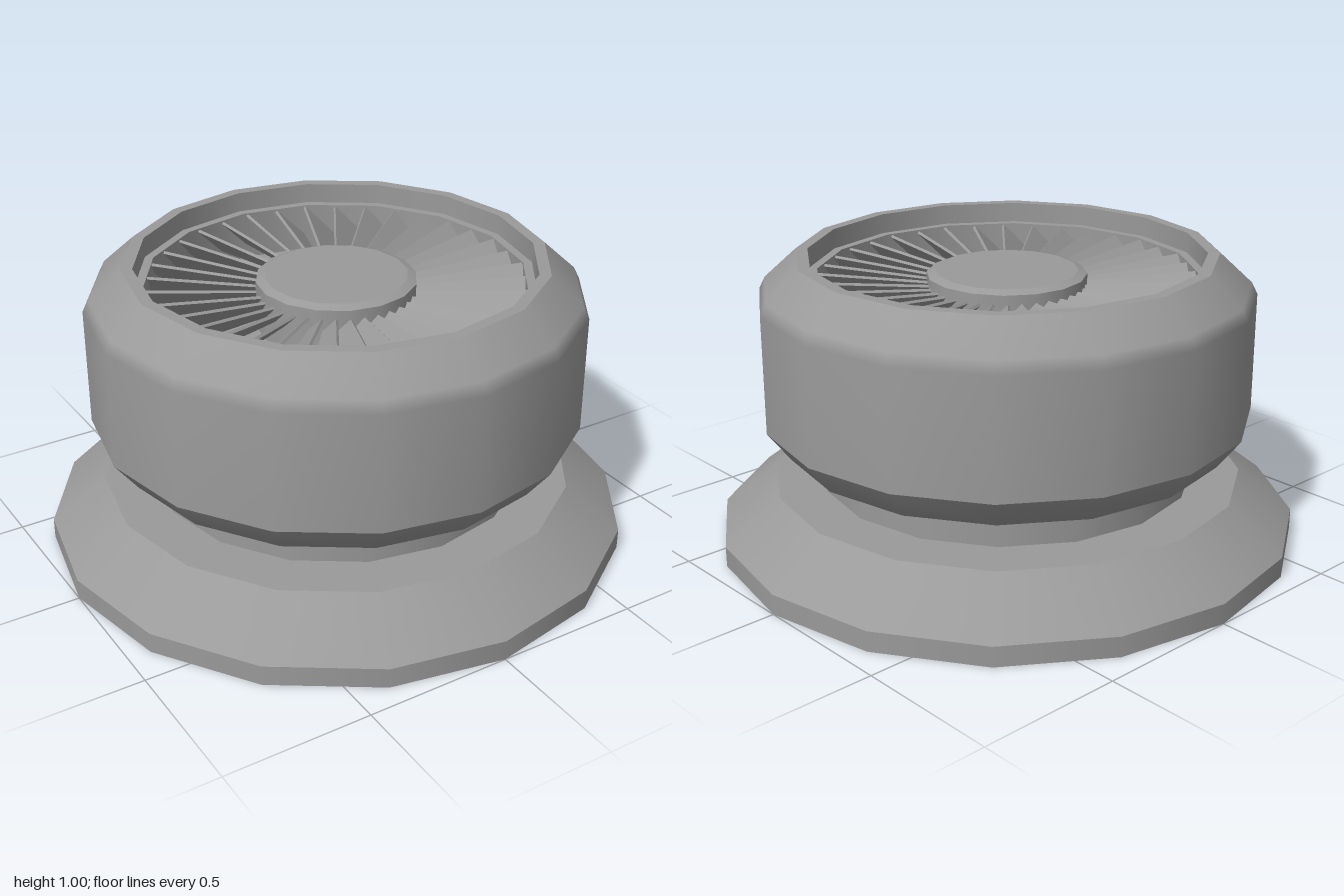
import * as THREE from 'three';
import { mergeGeometries } from 'three/addons/utils/BufferGeometryUtils.js';

const SIDES = 16;
const BLADES = 36;

export function createModel() {
  const model = new THREE.Group();
  model.name = 'roofVent';
  const material = new THREE.MeshStandardMaterial({ color: 0x9a9a9a });

  // Turned part: each band is smooth in itself, with a sharp edge between bands
  const turned = (name, ...bands) => {
    const lathes = bands.map((band) =>
      new THREE.LatheGeometry(band.map(([r, y]) => new THREE.Vector2(r, y)), SIDES));
    const mesh = new THREE.Mesh(mergeGeometries(lathes), material);
    mesh.name = name;
    model.add(mesh);
  };

  // Flared base flange with its flat bottom
  turned('base',
    [[0, 0], [1, 0]],
    [[1, 0], [1, 0.07]],
    [[1, 0.07], [0.81, 0.22]],
    [[0.81, 0.22], [0.64, 0.22]]);

  // Narrow neck between flange and housing
  turned('neck', [[0.645, 0.21], [0.645, 0.32]]);

  // Drum housing: underside, chamfered shell, rim, inner wall, ledge, well and floor
  turned('housing',
    [[0.64, 0.315], [0.76, 0.35], [0.84, 0.455]],
    [[0.84, 0.455], [0.84, 0.86], [0.82, 0.9], [0.71, 1]],
    [[0.71, 1], [0.67, 1]],
    [[0.67, 1], [0.67, 0.93]],
    [[0.67, 0.93], [0.64, 0.93]],
    [[0.64, 0.93], [0.64, 0.76]],
    [[0.64, 0.76], [0, 0.76]]);

  // Fan hub with a bevelled edge and flat cap
  turned('hub',
    [[0.27, 0.76], [0.27, 0.925]],
    [[0.27, 0.925], [0.24, 0.937]],
    [[0.24, 0.937], [0, 0.937]]);

  // Fan blade: tapered, pitched plate running from hub to wall
  const inner = 0.25, outer = 0.64, pitch = Math.PI / 4;
  const blade = new THREE.BoxGeometry(outer - inner, 0.01, 1);
  blade.translate((inner + outer) / 2, 0, 0);
  const pos = blade.attributes.position;
  for (let i = 0; i < pos.count; i++) {
    pos.setZ(i, pos.getZ(i) * pos.getX(i) * 0.235);
  }
  blade.rotateX(pitch);
  blade.computeVertexNormals();

  const fan = new THREE.Group();
  fan.name = 'fan';
  fan.position.y = 0.87;
  for (let i = 0; i < BLADES; i++) {
    const mesh = new THREE.Mesh(blade, material);
    mesh.name = 'blade';
    mesh.rotation.y = ((i + 0.4) / BLADES) * Math.PI * 2;
    fan.add(mesh);
  }
  model.add(fan);

  return model;
}
